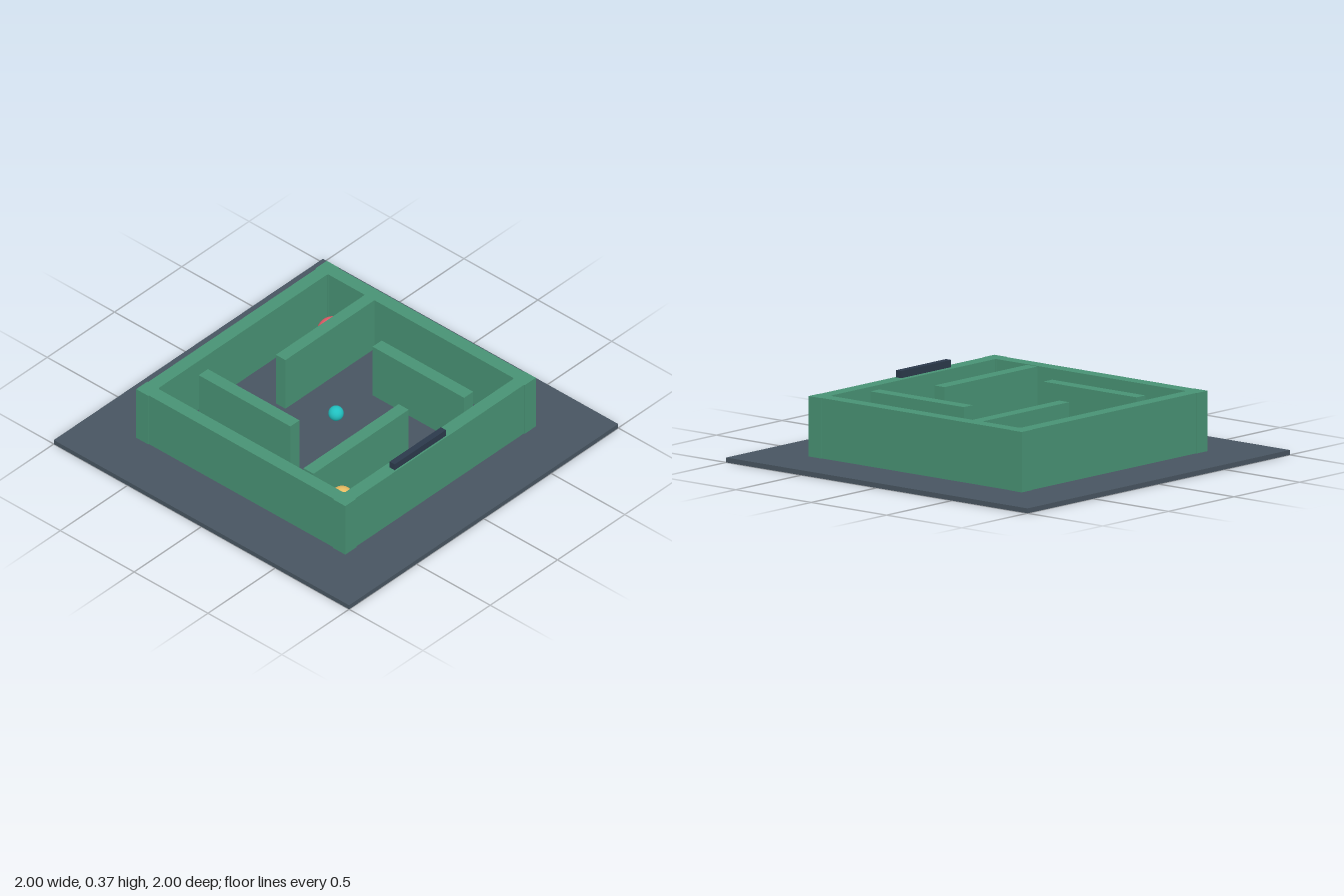
import * as THREE from 'three';

const BASE_TOP = 0.025, WALL_TOP = 0.333, RING = 0.667;

const paint = (color) => new THREE.MeshStandardMaterial({ color });

export function createModel() {
  const model = new THREE.Group();
  const slate = paint(0x485561), green = paint(0x489274), dark = paint(0x2b394b);

  // Box given by its extents on each axis
  function box(name, material, [x0, x1], [y0, y1], [z0, z1], parent = model) {
    const mesh = new THREE.Mesh(new THREE.BoxGeometry(x1 - x0, y1 - y0, z1 - z0), material);
    mesh.position.set((x0 + x1) / 2, (y0 + y1) / 2, (z0 + z1) / 2);
    mesh.name = name;
    parent.add(mesh);
  }
  const around = (c, half) => [c - half, c + half];
  const wallY = [BASE_TOP, WALL_TOP];

  // Ground slab
  box('floor', slate, [-1, 1], [0, BASE_TOP], [-1, 1]);

  // Outer walls between slightly thicker corner posts
  const outer = new THREE.Group();
  outer.name = 'outerWalls';
  model.add(outer);
  const span = [-RING + 0.04, RING - 0.04];
  for (const s of [-1, 1]) {
    box('sideWall', green, around(s * RING, 0.036), wallY, span, outer);
    box(s > 0 ? 'frontWall' : 'backWall', green, span, wallY, around(s * RING, 0.036), outer);
    for (const t of [-1, 1]) {
      box('cornerPost', green, around(s * RING, 0.041), wallY, around(t * RING, 0.041), outer);
    }
  }

  // Inner maze walls
  const inner = new THREE.Group();
  inner.name = 'innerWalls';
  model.add(inner);
  const innerWalls = [
    [[-0.413, -0.345], [-0.553, 0.067]],
    [[0.345, 0.413], [-0.067, 0.553]],
    [[-0.03, 0.632], [-0.38, -0.315]],
    [[-0.62, 0.087], [0.345, 0.413]],
  ];
  for (const [x, z] of innerWalls) box('innerWall', green, x, wallY, z, inner);

  // Sign panel set into the front wall
  box('signPanel', dark, [-0.325, 0.055], [0.19, 0.37], [0.66, 0.694]);

  // Balls inside the maze
  const balls = [
    ['smallBall', 0x20c0c0, 0.039, 0, 0.145, 0],
    ['mediumBall', 0xe8bc62, 0.061, -0.49, 0.145, 0.487],
    ['largeBall', 0xe9606c, 0.079, 0.477, 0.145, -0.459],
  ];
  for (const [name, color, radius, x, y, z] of balls) {
    const ball = new THREE.Mesh(new THREE.SphereGeometry(radius, 32, 20), paint(color));
    ball.position.set(x, y, z);
    ball.name = name;
    model.add(ball);
  }
  return model;
}
